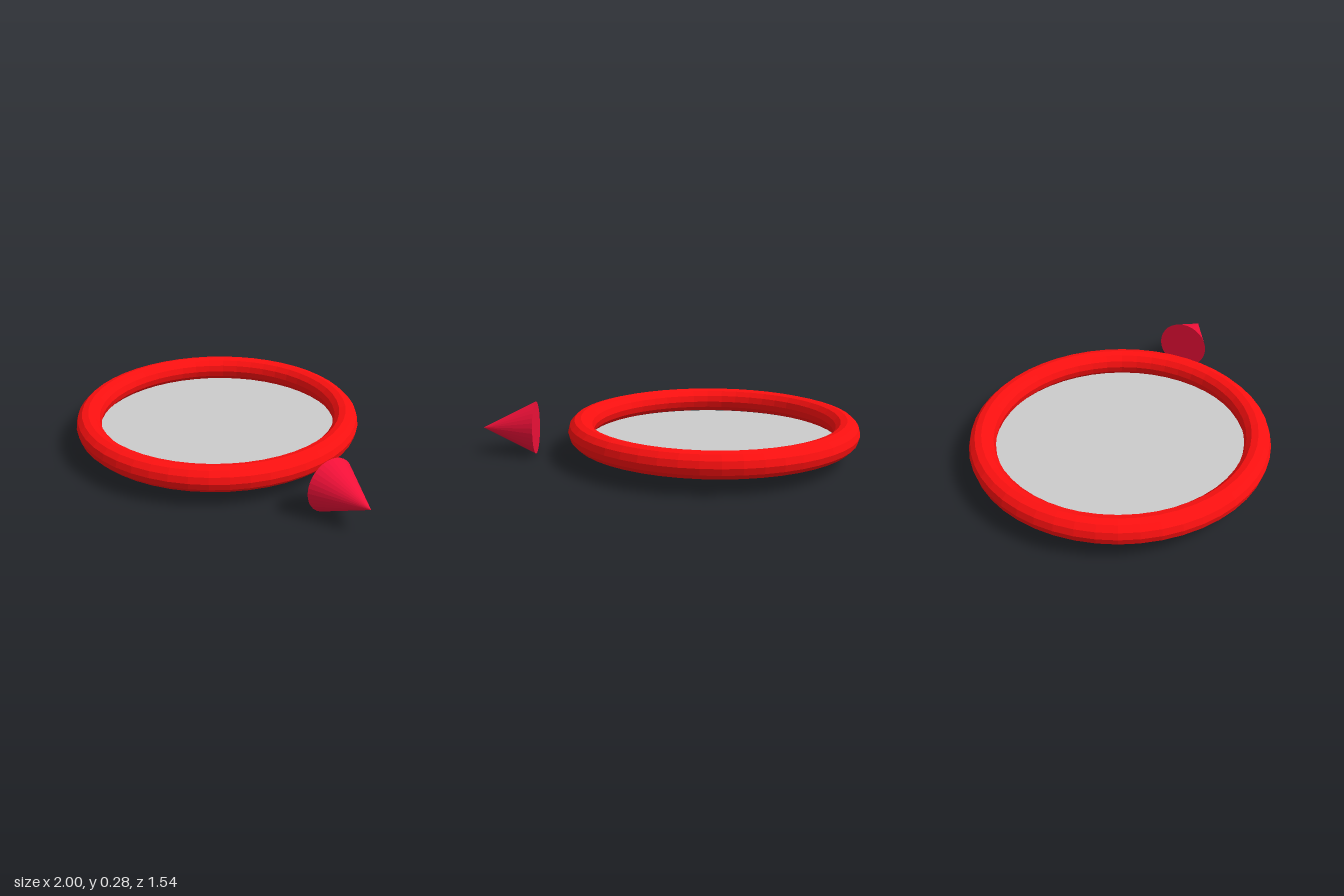
import * as THREE from 'three';

const RING_X = -0.228, MID_Y = 0.14, RING_R = 0.704, TUBE_R = 0.068;

function part(name, geometry, color, x, y, options = {}) {
  const material = new THREE.MeshStandardMaterial({ color, ...options });
  const mesh = new THREE.Mesh(geometry, material);
  mesh.name = name;
  mesh.position.set(x, y, 0);
  return mesh;
}

export function createModel() {
  const model = new THREE.Group();
  model.name = 'ringMarker';

  // Faceted ring lying flat
  const ring = new THREE.TorusGeometry(RING_R, TUBE_R, 12, 48).rotateX(-Math.PI / 2);
  model.add(part('ring', ring, 0xff1010, RING_X, MID_Y, { flatShading: true }));

  // Thin disc closing the underside of the ring
  const disc = new THREE.CircleGeometry(RING_R, 48).rotateX(-Math.PI / 2);
  model.add(part('baseDisc', disc, 0xcccccc, RING_X, MID_Y - TUBE_R - 0.001, { side: THREE.DoubleSide }));

  // Cone pointing away from the ring, towards +x
  const cone = new THREE.ConeGeometry(0.14, 0.28, 32).rotateZ(-Math.PI / 2);
  model.add(part('directionCone', cone, 0xf01038, 0.86, MID_Y, { flatShading: true }));

  return model;
}
